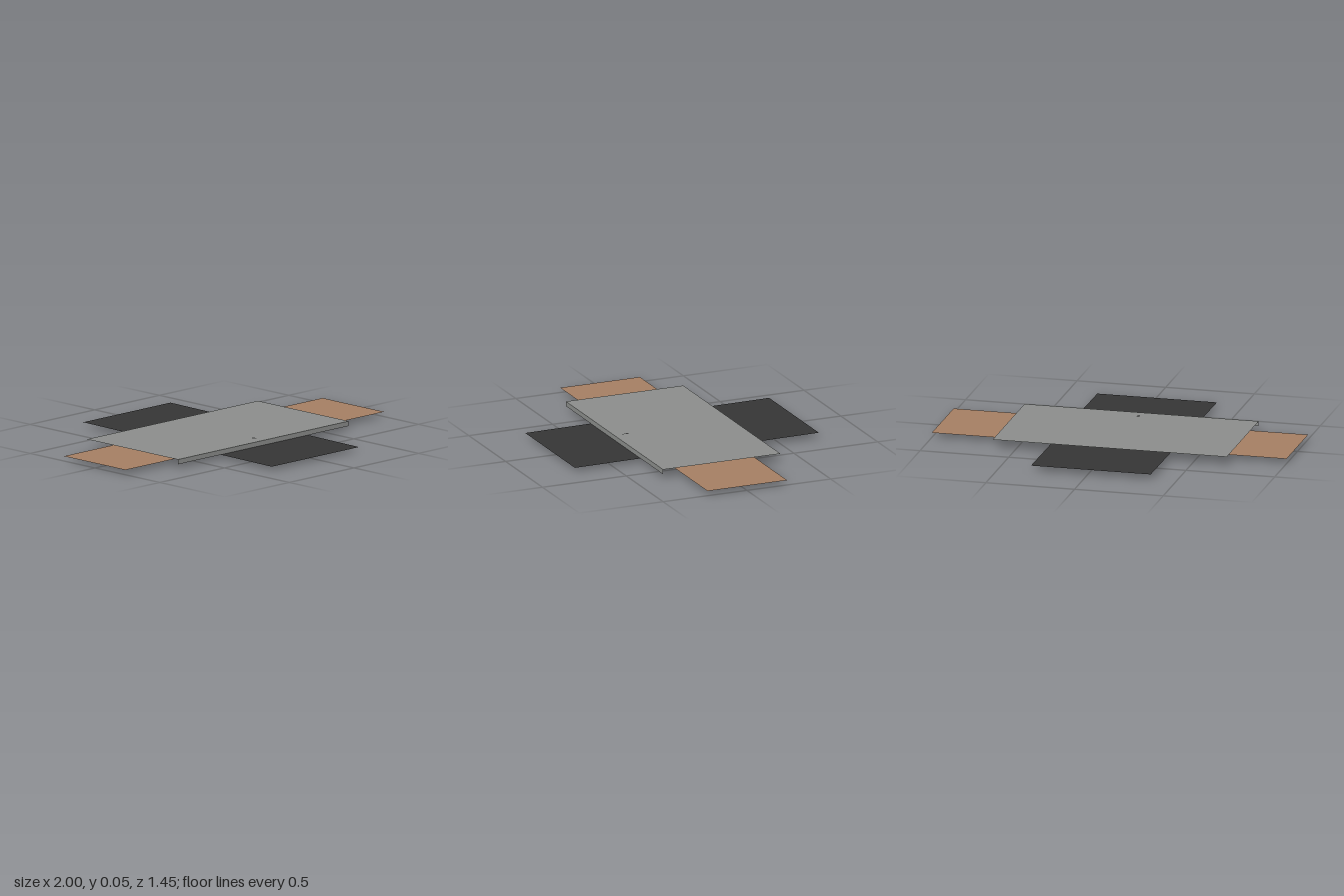
import * as THREE from 'three';

export function createModel() {
  const model = new THREE.Group();
  const material = (name, color, side = THREE.DoubleSide) => {
    const m = new THREE.MeshStandardMaterial({ color, side });
    m.name = name;
    return m;
  };
  const grey = material('metal grey', 0x8a8c8a);
  const brown = material('wood brown', 0xa47e62);
  const dark = material('charcoal', 0x353535);

  const add = (name, geometry, mat) => {
    const mesh = new THREE.Mesh(geometry, mat);
    mesh.name = name;
    model.add(mesh);
    return mesh;
  };
  // Horizontal sheet spanning x0..x1 and z0..z1, facing up
  const sheet = (name, x0, x1, z0, z1, y, mat) => {
    const g = new THREE.PlaneGeometry(x1 - x0, z1 - z0).rotateX(-Math.PI / 2);
    const mesh = add(name, g, mat);
    mesh.position.set((x0 + x1) / 2, y, (z0 + z1) / 2);
    return mesh;
  };

  // Stacked sheets; the dark one is tipped slightly down at the front
  sheet('topPanel', -0.695, 0.625, -0.365, 0.335, 0.052, grey);
  sheet('longPanel', -1, 1, -0.24, 0.235, 0.027, brown);
  sheet('crossPanel', -0.36, 0.315, -0.73, 0.725, 0.027, dark).rotation.x = 0.0085;

  // Lip folded down along the front of the top panel
  const lip = add('frontLip', new THREE.PlaneGeometry(1.32, 0.027), grey);
  lip.position.set(-0.035, 0.0385, 0.335);

  // Half ring of four straight segments under the panels
  const arc = new THREE.Shape();
  const point = (r, i) => {
    const a = -Math.PI / 4 + (i * Math.PI) / 4;
    return new THREE.Vector2(r * Math.cos(a), r * Math.sin(a));
  };
  const points = [];
  for (let i = 0; i <= 4; i++) points.push(point(0.077, i));
  for (let i = 4; i >= 0; i--) points.push(point(0.06, i));
  arc.setFromPoints(points);
  const ring = new THREE.ExtrudeGeometry(arc, { depth: 0.031, bevelEnabled: false });
  ring.rotateX(-Math.PI / 2);
  add('halfRing', ring, grey).position.set(-0.047, 0, 0.022);

  // Tiny dark mark near the front of the top panel
  const mark = new THREE.Shape();
  mark.moveTo(0, 0.022).lineTo(0.01, 0.008).lineTo(0, -0.022).lineTo(-0.01, 0.008);
  const markGeometry = new THREE.ShapeGeometry(mark).rotateX(-Math.PI / 2);
  add('smallMark', markGeometry, dark).position.set(-0.035, 0.053, 0.268);

  return model;
}
